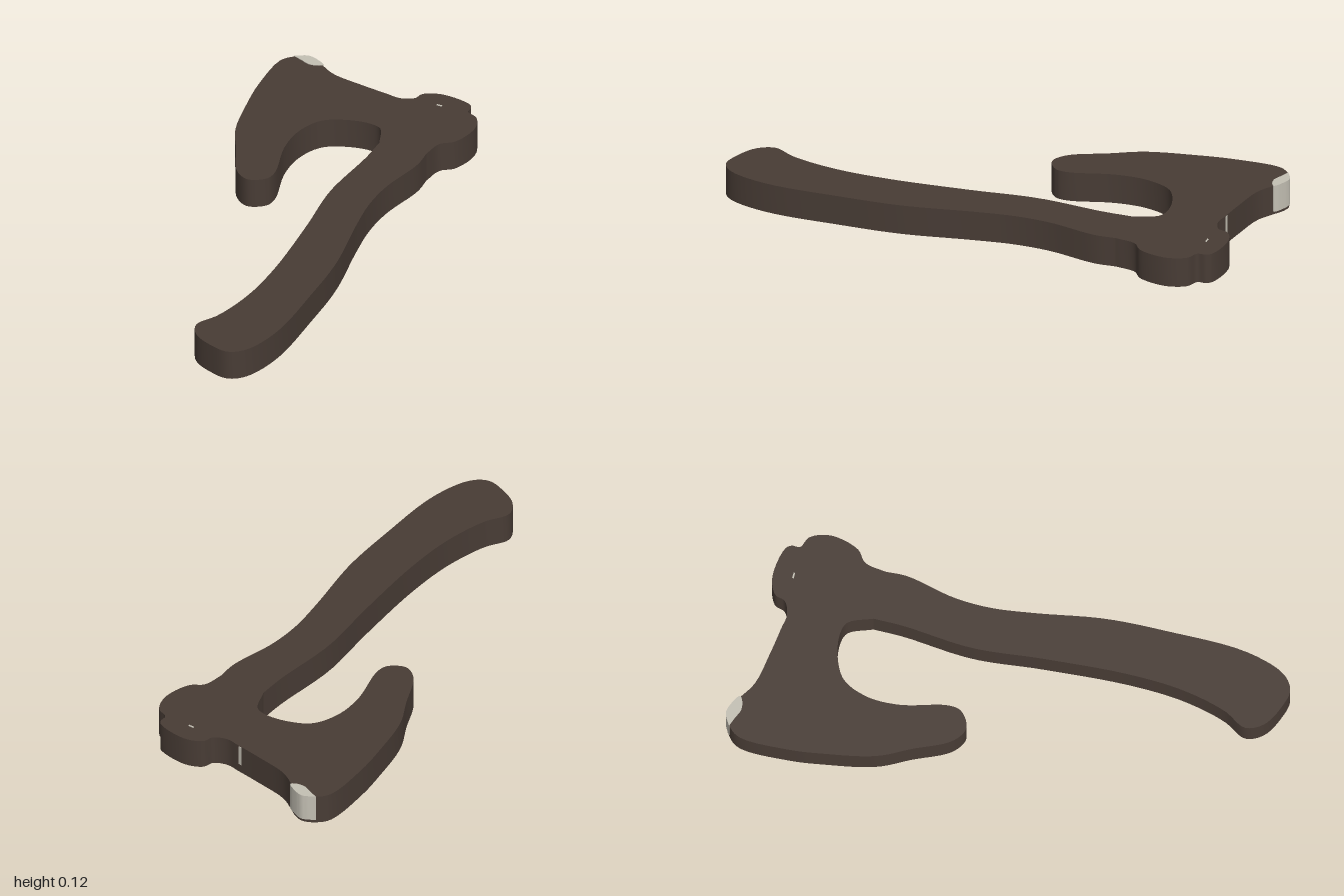
import * as THREE from 'three';
import { toCreasedNormals } from 'three/addons/utils/BufferGeometryUtils.js';

const THICKNESS = 0.117;

// Smooth open curve through [x, z] points; the ends are joined by a straight edge.
function smooth(points, samples) {
  const curve = new THREE.CatmullRomCurve3(points.map(([x, z]) => new THREE.Vector3(x, -z, 0)));
  return curve.getPoints(samples).map((p) => new THREE.Vector2(p.x, p.y));
}

// Flat slab lying on the ground plane, with smooth side walls and sharp rims.
function slab(name, points, material, bottom = 0, top = THICKNESS, samples = points.length * 5) {
  const shape = new THREE.Shape(smooth(points, samples));
  let geometry = new THREE.ExtrudeGeometry(shape, { depth: top - bottom, bevelEnabled: false });
  geometry.rotateX(-Math.PI / 2);
  geometry.translate(0, bottom, 0);
  geometry = toCreasedNormals(geometry, 0.5);
  const mesh = new THREE.Mesh(geometry, material);
  mesh.name = name;
  return mesh;
}

export function createModel() {
  const brown = new THREE.MeshStandardMaterial({ color: 0x483c35 });
  brown.name = 'darkBrown';
  const pale = new THREE.MeshStandardMaterial({ color: 0xc4c0b4 });
  pale.name = 'paleGrey';

  const group = new THREE.Group();
  group.name = 'axe';

  // Bearded head: inner beard curve, cutting edge, upper horn, then the poll around the eye
  const head = [
    [0.15, -0.565], [0.11, -0.655], [0.06, -0.67], [-0.03, -0.655], [-0.11, -0.61],
    [-0.153, -0.51], [-0.153, -0.385], [-0.11, -0.21], [-0.12, -0.16], [-0.18, -0.125],
    [-0.24, -0.16], [-0.31, -0.3], [-0.37, -0.42], [-0.41, -0.61], [-0.427, -0.74],
    [-0.425, -0.93], [-0.39, -0.975], [-0.345, -0.996], [-0.305, -0.986], [-0.27, -0.963],
    [-0.205, -0.925], [-0.075, -0.9], [0.03, -0.885], [0.085, -0.878], [0.135, -0.9],
    [0.15, -0.94], [0.215, -0.968], [0.335, -0.95], [0.352, -0.93], [0.355, -0.898],
    [0.4, -0.875], [0.427, -0.8], [0.4, -0.69], [0.355, -0.65], [0.34, -0.57],
  ];
  group.add(slab('head', head, brown));

  // Curved handle with a flared knob at the end
  const handle = [
    [0.34, -0.57], [0.343, -0.485], [0.305, -0.3], [0.3, -0.16], [0.32, 0.0],
    [0.365, 0.265], [0.375, 0.5], [0.37, 0.8], [0.32, 0.955], [0.265, 0.995],
    [0.19, 0.98], [0.11, 0.935], [0.08, 0.87], [0.125, 0.78], [0.165, 0.61],
    [0.175, 0.4], [0.155, 0.08], [0.13, -0.185], [0.15, -0.45], [0.15, -0.565],
  ];
  group.add(slab('handle', handle, brown));

  // Pale worn tip on the upper horn
  const tip = [
    [-0.392, -0.976], [-0.345, -1.0], [-0.305, -0.99], [-0.268, -0.966],
    [-0.285, -0.953], [-0.32, -0.948], [-0.355, -0.962],
  ];
  group.add(slab('hornTip', tip, pale, 0.012, THICKNESS + 0.002));

  // Small worn marks: a sliver on the back wall and a fleck beside the eye
  const sliver = new THREE.Mesh(new THREE.BoxGeometry(0.014, 0.08, 0.006), pale);
  sliver.name = 'wornSliver';
  sliver.position.set(0.02, 0.075, -0.885);
  sliver.rotation.y = -0.14;
  group.add(sliver);

  const fleck = new THREE.Mesh(new THREE.BoxGeometry(0.022, 0.004, 0.006), pale);
  fleck.name = 'wornFleck';
  fleck.position.set(0.24, THICKNESS, -0.893);
  group.add(fleck);

  return group;
}
